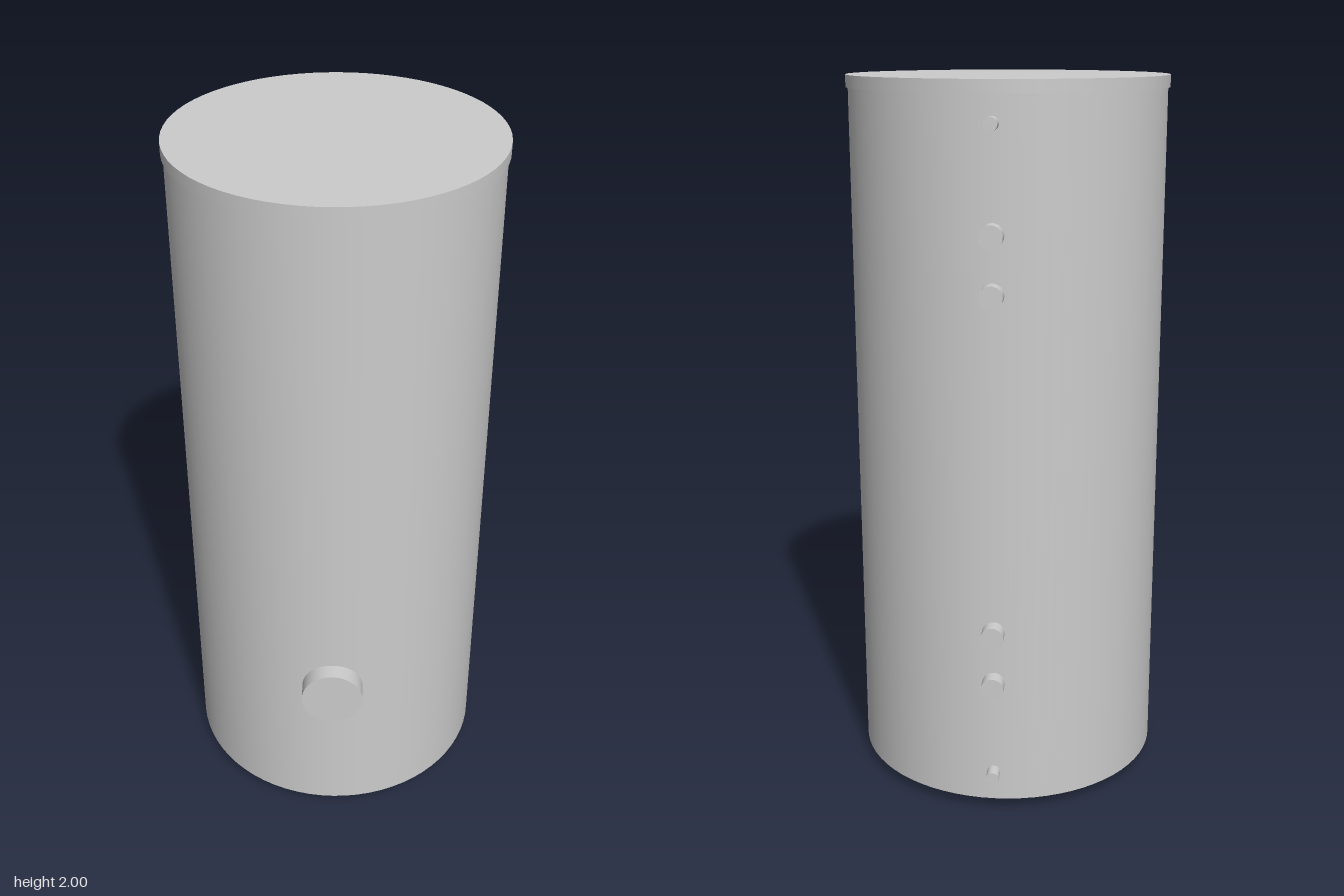
import * as THREE from 'three';

export function createModel() {
  const group = new THREE.Group();
  group.name = 'storageTank';
  const grey = new THREE.MeshStandardMaterial({ color: 0xcccccc });
  grey.name = 'light grey';
  const axisZ = -0.0025; // tank axis, offset by the unequal fittings

  // Upright cylinder between two heights
  function upright(name, radius, y0, y1, x = 0, z = 0, sides = 32) {
    const mesh = new THREE.Mesh(new THREE.CylinderGeometry(radius, radius, y1 - y0, sides), grey);
    mesh.name = name;
    mesh.position.set(x, (y0 + y1) / 2, axisZ + z);
    group.add(mesh);
  }

  // Cylinder lying along z, between two depths
  function fitting(name, radius, y, z0, z1, sides = 32) {
    const geometry = new THREE.CylinderGeometry(radius, radius, z1 - z0, sides).rotateX(Math.PI / 2);
    const mesh = new THREE.Mesh(geometry, grey);
    mesh.name = name;
    mesh.position.set(0, y, (z0 + z1) / 2);
    group.add(mesh);
  }

  // Jacket and lid
  upright('tankBody', 0.435, 0.032, 1.97, 0, 0, 72);
  upright('lid', 0.441, 1.967, 2, 0, 0, 72);

  // Inspection flange at the front
  fitting('inspectionFlange', 0.087, 0.497, 0.38, 0.479, 48);

  // Pipe connections down the back: height, radius
  const pipes = [[1.895, 0.018], [1.622, 0.031], [1.47, 0.031], [0.542, 0.031], [0.391, 0.031], [0.118, 0.018]];
  pipes.forEach(([y, radius], i) => fitting(`pipeConnection${i + 1}`, radius, y, -0.479, -0.41));

  // Three levelling feet
  for (let i = 0; i < 3; i++) {
    const angle = Math.PI + (i * Math.PI * 2) / 3;
    const x = 0.298 * Math.cos(angle), z = 0.298 * Math.sin(angle);
    upright(`footPad${i + 1}`, 0.046, 0, 0.013, x, z);
    upright(`footStem${i + 1}`, 0.012, 0.012, 0.036, x, z, 20);
  }
  return group;
}
